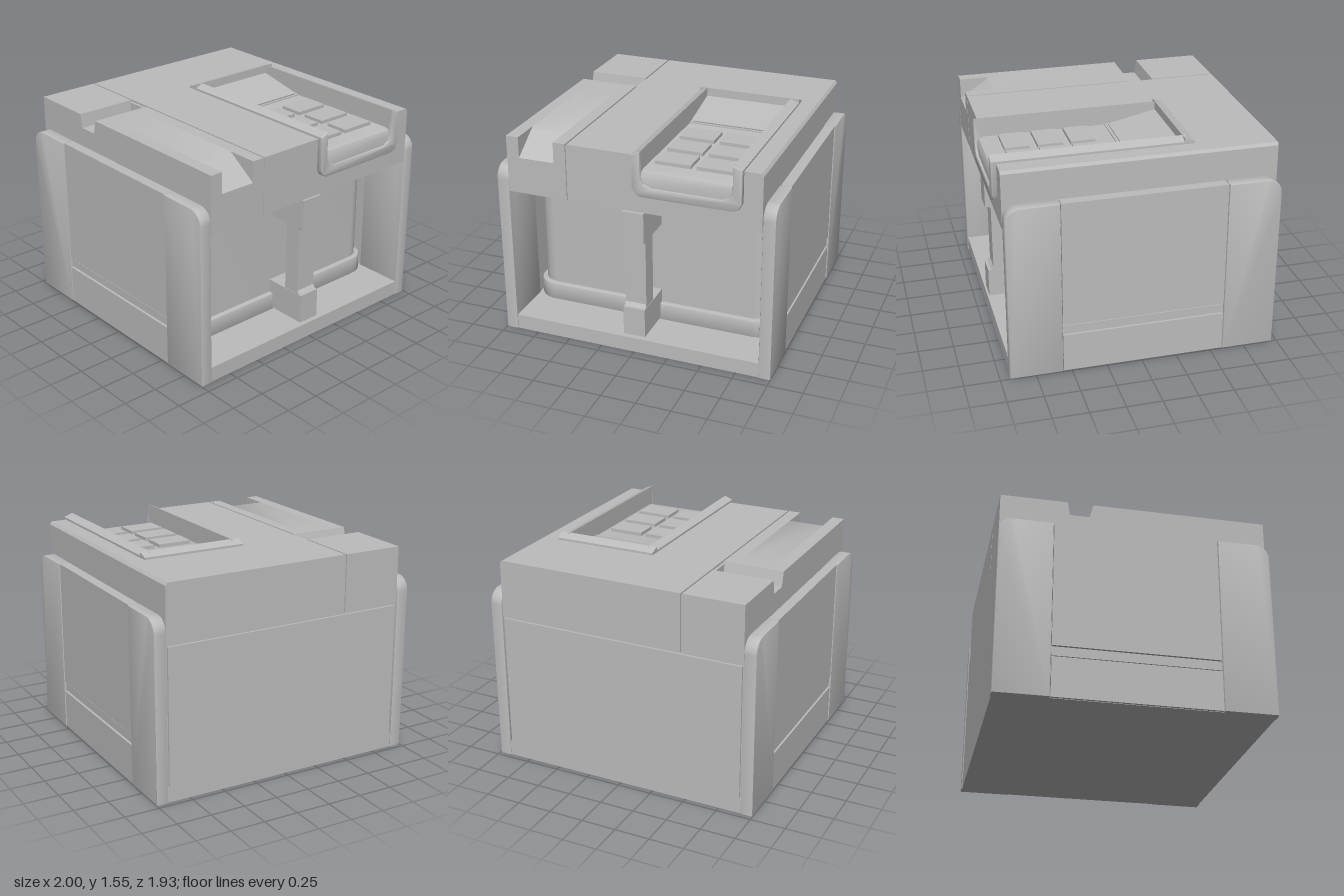
import * as THREE from 'three';
import { toCreasedNormals } from 'three/addons/utils/BufferGeometryUtils.js';

const grey = new THREE.MeshStandardMaterial({ color: 0xbcbcbc });
grey.name = 'grey plastic';

export function createModel() {
  const model = new THREE.Group();
  model.name = 'countertopAppliance';

  const add = (name, geometry) => {
    const mesh = new THREE.Mesh(geometry, grey);
    mesh.name = name;
    model.add(mesh);
    return mesh;
  };
  // box given by its limits
  const box = (name, x0, x1, y0, y1, z0, z1) =>
    add(name, new THREE.BoxGeometry(x1 - x0, y1 - y0, z1 - z0)
      .translate((x0 + x1) / 2, (y0 + y1) / 2, (z0 + z1) / 2));
  // extrude with a bevel that stays inside the outline and depth
  const extrude = (shape, depth, bevel = 0) => {
    const g = new THREE.ExtrudeGeometry(shape, {
      depth: depth - 2 * bevel, bevelEnabled: bevel > 0, bevelThickness: bevel,
      bevelSize: bevel, bevelOffset: -bevel, bevelSegments: 2, curveSegments: 10,
    }).translate(0, 0, bevel);
    return toCreasedNormals(g, 0.6);
  };
  const polygon = (pts) => new THREE.Shape(pts.map(([a, b]) => new THREE.Vector2(a, b)));
  // outline of [z, y] points swept from x0 to x1
  const sweepX = (name, pts, x0, x1, bevel) =>
    add(name, extrude(polygon(pts.map(([z, y]) => [-z, y])), x1 - x0, bevel)
      .rotateY(Math.PI / 2).translate(x0, 0, 0));
  // rounded rectangle in plan, raised from y0 to y1
  const roundedBlock = (name, hw, z0, z1, r, y0, y1, bevel) => {
    const s = new THREE.Shape();
    s.moveTo(-hw, -z0);
    s.lineTo(-hw, -z1 + r);
    s.absarc(-hw + r, -z1 + r, r, Math.PI, 1.5 * Math.PI, false);
    s.lineTo(hw - r, -z1);
    s.absarc(hw - r, -z1 + r, r, 1.5 * Math.PI, 2 * Math.PI, false);
    s.lineTo(hw, -z0);
    add(name, extrude(s, y1 - y0, bevel).rotateX(-Math.PI / 2).translate(0, y0, 0));
  };

  // base and back
  box('base', -0.92, 0.92, 0, 0.11, -0.96, 0.925);
  box('backWall', -0.92, 0.92, 0.1, 1.1, -0.945, -0.9);
  box('backPanel', -0.9, 0.9, 0.06, 1.085, -0.96, -0.94);

  // side walls: two rounded posts with an inset panel between
  const arc = (cz, cy, r, a0, a1) => Array.from({ length: 9 }, (_, i) => {
    const a = a0 + (a1 - a0) * i / 8;
    return [cz + r * Math.cos(a), cy + r * Math.sin(a)];
  });
  const frontPost = [[0.56, 0], [0.93, 0], ...arc(0.83, 1.18, 0.1, 0, Math.PI / 2), [0.56, 1.28]];
  const backPost = [[-0.965, 0], [-0.592, 0], [-0.592, 1.28],
    ...arc(-0.865, 1.18, 0.1, Math.PI / 2, Math.PI)];
  for (const side of [1, -1]) {
    const label = side > 0 ? 'left' : 'right';
    const span = (a, b) => (side > 0 ? [a, b] : [-b, -a]);
    sweepX(label + 'FrontPost', frontPost, ...span(0.912, 1), 0.008);
    sweepX(label + 'BackPost', backPost, ...span(0.912, 1), 0.008);
    box(label + 'SideCore', ...span(0.916, 0.975), 0, 1.27, -0.6, 0.57);
    box(label + 'UpperPanel', ...span(0.92, 0.993), 0.365, 1.28, -0.588, 0.556);
    box(label + 'GrooveStrip', ...span(0.92, 0.985), 0.295, 0.355, -0.588, 0.556);
    box(label + 'LowerPanel', ...span(0.92, 0.993), 0.003, 0.285, -0.588, 0.556);
  }

  // drawer body with two bands
  roundedBlock('drawerBody', 0.88, -0.89, 0.59, 0.13, 0.12, 1.09);
  roundedBlock('lowerBand', 0.91, -0.89, 0.625, 0.15, 0.112, 0.245, 0.01);
  roundedBlock('upperBand', 0.91, -0.89, 0.625, 0.15, 0.96, 1.1, 0.01);

  // handle: two mounts and a grip
  box('handleLowerMount', -0.08, 0.08, 0.13, 0.345, 0.58, 0.915);
  box('handleUpperMount', -0.08, 0.08, 0.86, 1.08, 0.58, 0.915);
  sweepX('handleGrip', [[0.75, 0.33], [0.905, 0.33], [0.875, 0.37], [0.875, 0.845],
    [0.905, 0.88], [0.75, 0.88]], -0.077, 0.077);

  // narrow lid section, with a cross groove and a sloped front notch
  const B = -0.955, F = 0.93, T = 1.51, L = 1.1;
  const grooved = [[F, L], [B, L], [B, T], [-0.485, T], [-0.47, 1.41], [-0.33, 1.41], [-0.305, T]];
  const plain = [...grooved, [F, T]];
  sweepX('narrowLidOuter', plain, -0.91, -0.82);
  sweepX('narrowLidNotched', [...grooved, [0.71, T], [0.74, 1.49], [F, 1.36]], -0.82, -0.56);
  sweepX('narrowLidInner', plain, -0.56, -0.472);
  box('lidSeam', -0.48, -0.45, 1.11, 1.495, -0.945, 0.92);

  // wide lid section with a pocket for the controls
  const full = [[F, L], [B, L], [B, T], [F, T]];
  sweepX('wideLidRight', full, -0.46, 0.08);
  sweepX('controlBed', [[F, L], [B, L], [B, T], [-0.34, T], [-0.34, 1.49], [0.03, 1.41],
    [0.9, 1.41], [0.935, 1.4], [0.95, 1.37], [0.95, 1.29], [F, 1.29]], 0.08, 0.715);
  const edge = polygon([[0.715, L], [0.91, L], [0.91, T - 0.02], [0.895, T], [0.715, T]]);
  add('wideLidLeft', extrude(edge, F - B).translate(0, 0, B));

  // raised rim around the controls, wrapping over the front
  const rail = (name, x0, x1, top0, top1) =>
    add(name, extrude(polygon([[x0, 1.5], [x1, 1.5], [x1, top1], [x0, top0]]), 1.305)
      .translate(0, 0, -0.36));
  rail('rimRightRail', 0.02, 0.08, 1.525, 1.55);
  rail('rimLeftRail', 0.715, 0.78, 1.55, 1.525);
  sweepX('rimBackRail', [[-0.41, 1.5], [-0.34, 1.5], [-0.34, 1.55], [-0.41, 1.525]], 0.02, 0.78);
  const rim = polygon([[0.02, 1.525], [0.02, 1.29], [0.04, 1.25], [0.08, 1.23], [0.72, 1.23],
    [0.76, 1.25], [0.78, 1.29], [0.78, 1.525], [0.715, 1.55], [0.715, 1.37], [0.7, 1.325],
    [0.65, 1.3], [0.15, 1.3], [0.1, 1.325], [0.08, 1.37], [0.08, 1.55]]);
  add('rimFront', extrude(rim, 0.045, 0.008).translate(0, 0, 0.922));

  // sloped screen with a thin border
  const tilt = Math.atan2(0.08, 0.37);
  const slab = (name, w, h, d, y) => {
    const m = add(name, new THREE.BoxGeometry(w, h, d));
    m.rotation.x = tilt;
    m.position.set(0.398, y, -0.155);
  };
  slab('screen', 0.59, 0.01, 0.34, 1.455);
  box('screenLedge', 0.08, 0.715, 1.4, 1.418, 0.02, 0.035);

  // keypad
  for (const x of [0.12, 0.415])
    for (const z of [0.17, 0.4, 0.63])
      box('button', x, x + 0.255, 1.4, 1.435, z, z + 0.175);

  return model;
}
